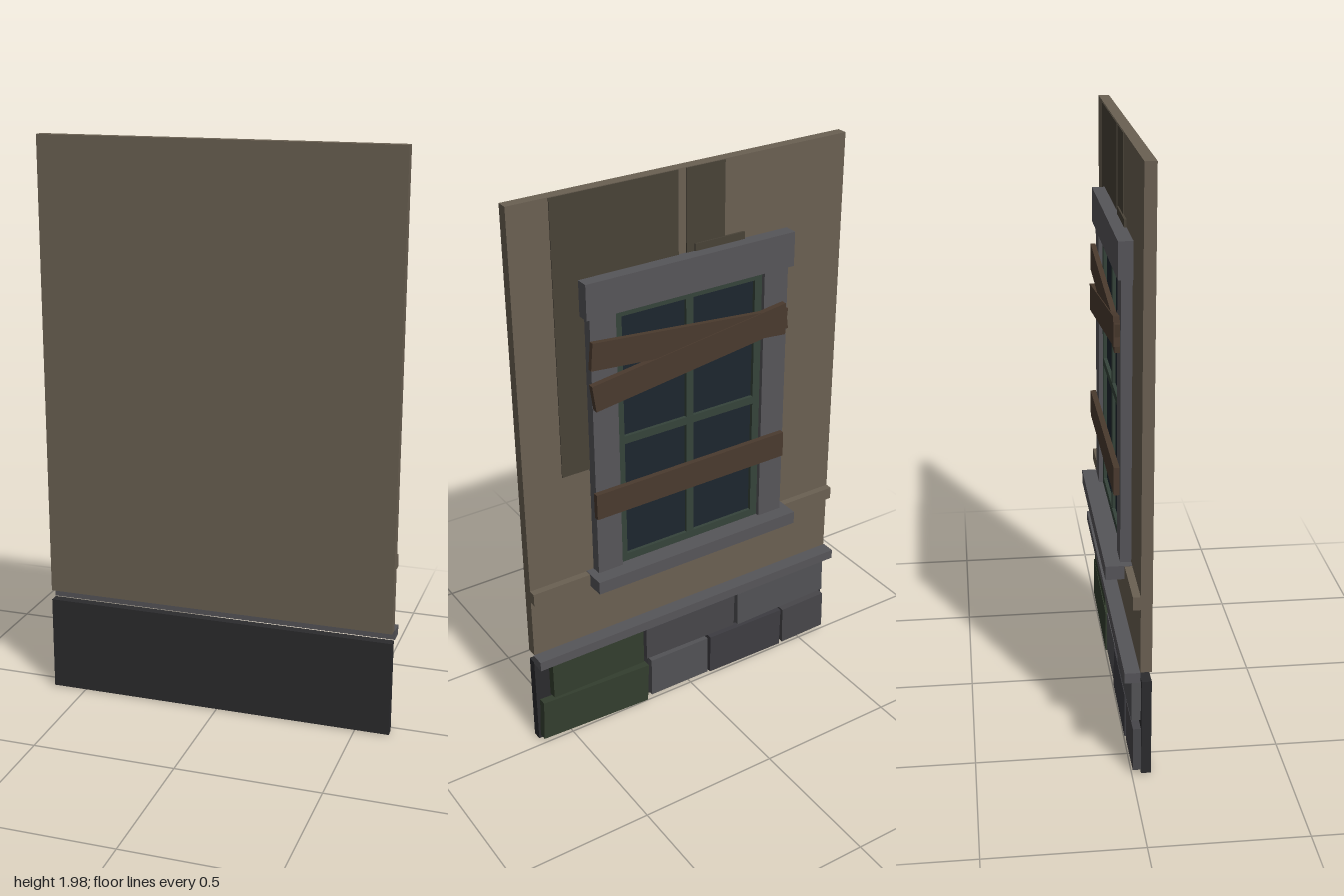
import * as THREE from 'three';

const material = (color) => new THREE.MeshStandardMaterial({ color, flatShading: true });
const mats = {
  plaster: material(0x6a6052),
  stain: material(0x484237),
  trim: material(0x565559),
  base: material(0x2b2b2d),
  frame: material(0x35433a),
  glass: material(0x1d262e),
  wood: material(0x4a3a2e),
  moss: material(0x333e2e),
  stoneA: material(0x47464a),
  stoneB: material(0x525255),
  stoneC: material(0x3d3c41),
};

export function createModel() {
  const model = new THREE.Group();

  // Box given by its extents, optionally tilted about z
  function box(parent, name, mat, x0, x1, y0, y1, z0, z1, tilt = 0) {
    const mesh = new THREE.Mesh(new THREE.BoxGeometry(x1 - x0, y1 - y0, z1 - z0), mats[mat]);
    mesh.position.set((x0 + x1) / 2, (y0 + y1) / 2, (z0 + z1) / 2);
    mesh.rotation.z = tilt;
    mesh.name = name;
    parent.add(mesh);
    return mesh;
  }
  function group(name) {
    const g = new THREE.Group();
    g.name = name;
    model.add(g);
    return g;
  }

  // Wall panel with its bands
  const wall = group('wall');
  box(wall, 'plasterPanel', 'plaster', -0.62, 0.62, 0.39, 2, 0.025, 0.062);
  box(wall, 'sillBand', 'plaster', -0.62, 0.62, 0.61, 0.655, 0, 0.025);
  box(wall, 'baseLedge', 'trim', -0.623, 0.623, 0.355, 0.39, -0.025, 0.025);
  box(wall, 'basePanel', 'base', -0.62, 0.62, 0.018, 0.355, 0.03, 0.062);

  // Thin weather stains on the plaster
  box(wall, 'wideStain', 'stain', 0.03, 0.48, 1.05, 1.998, 0.022, 0.025);
  box(wall, 'narrowStain', 'stain', -0.145, 0, 1.62, 1.998, 0.022, 0.025);
  box(wall, 'lintelStain', 'stain', -0.22, -0.03, 1.62, 1.745, 0.017, 0.025);

  // Window surround
  const win = group('window');
  box(win, 'lintel', 'trim', -0.393, 0.393, 1.6, 1.72, -0.022, 0.025);
  box(win, 'sill', 'trim', -0.405, 0.405, 0.61, 0.657, -0.062, 0.025);
  for (const s of [-1, 1]) {
    const jamb = box(win, 'jamb', 'trim', 0.283, 0.377, 0.657, 1.6, -0.011, 0.025);
    jamb.position.x *= s;
    const stile = box(win, 'sashStile', 'frame', 0.255, 0.283, 0.657, 1.6, 0.003, 0.025);
    stile.position.x *= s;
  }

  // Glass and sash bars
  box(win, 'glass', 'glass', -0.283, 0.283, 0.657, 1.6, 0.015, 0.024);
  box(win, 'verticalBar', 'frame', -0.014, 0.014, 0.657, 1.6, 0.004, 0.02);
  for (const y of [0.671, 1.128, 1.586]) {
    box(win, 'sashRail', 'frame', -0.283, 0.283, y - 0.014, y + 0.014, 0.003, 0.02);
  }

  // Boards nailed over the window: centre height, tilt, outer z
  const boards = group('boards');
  for (const [y, tilt, z] of [[1.443, 0.09, -0.029], [1.381, -0.135, -0.032], [0.933, -0.008, -0.031]]) {
    box(boards, 'board', 'wood', -0.367, 0.385, y - 0.047, y + 0.047, z, -0.012, tilt);
  }

  // Stone courses: colour, x range, y range, outer z, tilt
  const stones = group('stones');
  const courses = [
    ['moss', 0.2, 0.565, 0.197, 0.338, 0, 0],
    ['stoneA', -0.195, 0.185, 0.2, 0.337, 0.004, 0.01],
    ['stoneB', -0.6, -0.208, 0.2, 0.337, 0, -0.025],
    ['moss', 0.182, 0.61, 0.024, 0.18, 0.001, 0.04],
    ['stoneB', -0.078, 0.165, 0.028, 0.182, 0.005, 0],
    ['stoneC', -0.408, -0.088, 0.025, 0.182, 0.001, 0.01],
    ['stoneA', -0.612, -0.422, 0.025, 0.176, 0.004, -0.02],
  ];
  for (const [mat, x0, x1, y0, y1, z, tilt] of courses) {
    box(stones, 'stoneBlock', mat, x0, x1, y0, y1, z, 0.038, tilt);
  }

  return model;
}
